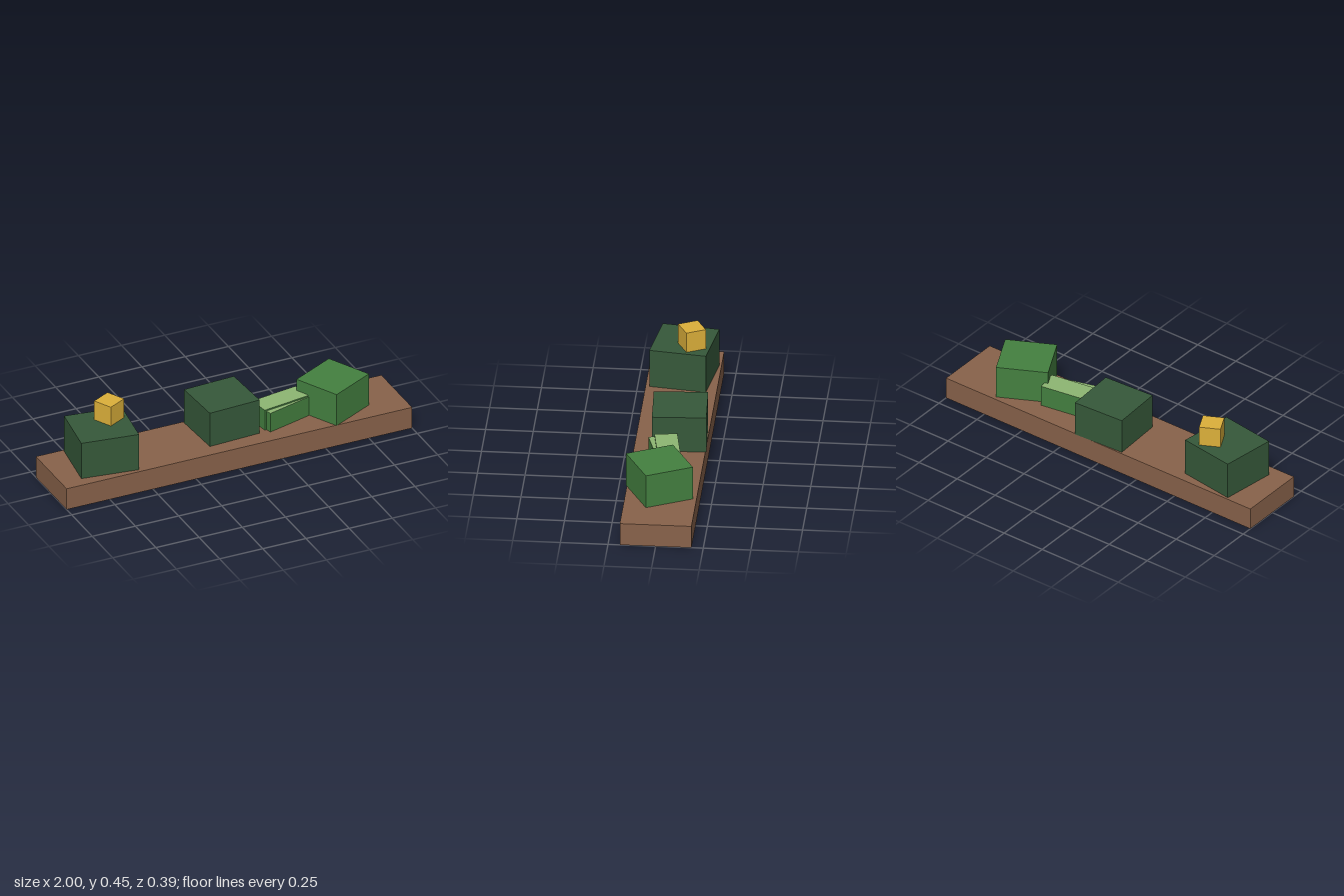
import * as THREE from 'three';

const mat = (name, color, side = THREE.FrontSide) => {
  const m = new THREE.MeshStandardMaterial({ color, side });
  m.name = name;
  return m;
};

export function createModel() {
  const brown = mat('brown', 0x88624a, THREE.DoubleSide);
  const darkGreen = mat('dark green', 0x36593a);
  const green = mat('green', 0x448040);
  const lightGreen = mat('light green', 0x8db672);
  const gold = mat('gold', 0xdcb03a);

  const model = new THREE.Group();
  model.name = 'planter';

  // Block standing from y0 to y1, turned about the vertical axis; the top may have its own colour
  const block = (name, [w, d], [x, z], [y0, y1], turn, side, top = side) => {
    const geo = new THREE.BoxGeometry(w, y1 - y0, d);
    const mesh = new THREE.Mesh(geo, top === side ? side : [side, side, top, side, side, side]);
    mesh.name = name;
    mesh.position.set(x, (y0 + y1) / 2, z);
    mesh.rotation.y = turn;
    model.add(mesh);
    return mesh;
  };

  // Trough: a hollow shell, open underneath
  const trough = block('trough', [2, 0.376], [0, 0], [0, 0.125], 0, brown);
  const index = Array.from(trough.geometry.index.array);
  index.splice(18, 6); // drop the bottom face
  trough.geometry.setIndex(index);
  trough.geometry.clearGroups();

  // Dark bushes
  block('rightBush', [0.316, 0.303], [-0.707, -0.004], [0.125, 0.337], -0.14, darkGreen);
  block('middleBush', [0.296, 0.285], [0.008, -0.043], [0.125, 0.325], 0.052, darkGreen);

  // Bloom resting on the right bush
  block('bloom', [0.114, 0.11], [-0.641, -0.05], [0.337, 0.45], 0.471, gold);

  // Low crossed plants with pale tops
  block('lowPlantBack', [0.275, 0.12], [0.327, -0.006], [0.125, 0.245], 0.157, green, lightGreen);
  block('lowPlantFront', [0.265, 0.12], [0.331, 0.0115], [0.125, 0.237], 0.27, green, lightGreen);

  // Bright bush
  block('leftBush', [0.277, 0.265], [0.6235, 0.0125], [0.125, 0.312], 0.471, green);

  return model;
}
